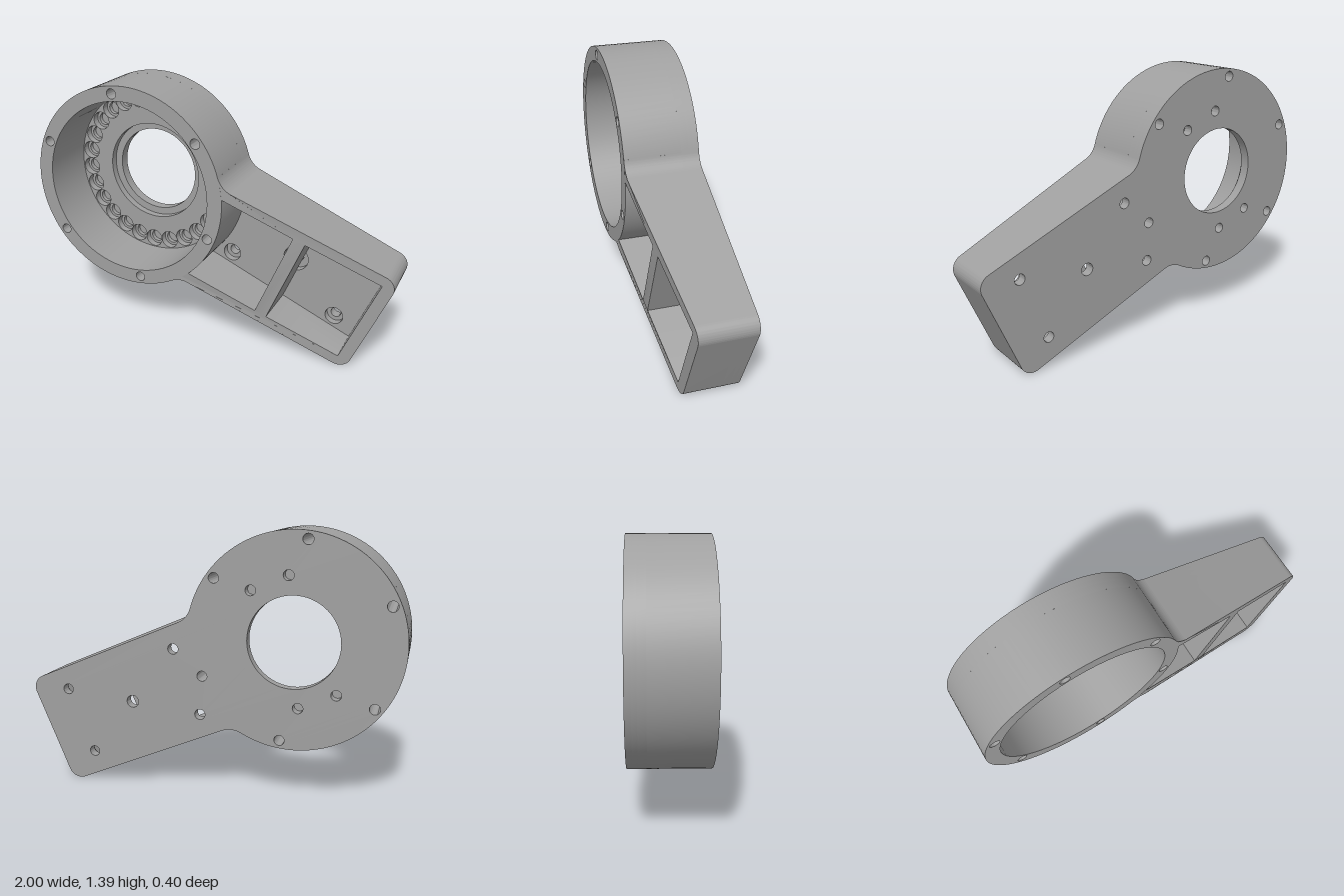
import * as THREE from 'three';
import { toCreasedNormals } from 'three/addons/utils/BufferGeometryUtils.js';

const PI = Math.PI;
// Local frame: origin at the bore axis, arm pointing along +x.
const R = 0.558, HALF = 0.305, END = 1.46, CORNER = 0.07, FILLET = 0.12;
const FV = HALF + FILLET, FU = Math.sqrt((R + FILLET) ** 2 - FV ** 2);
const FA = Math.atan2(FV, FU);

// Arm sides, rounded end and the fillets into the ring; innerR closes it on the ring side
function outline(fullRing) {
  const s = new THREE.Shape();
  s.moveTo(FU, -HALF);
  s.absarc(END - CORNER, -HALF + CORNER, CORNER, -PI / 2, 0, false);
  s.absarc(END - CORNER, HALF - CORNER, CORNER, 0, PI / 2, false);
  s.lineTo(FU, HALF);
  s.absarc(FU, FV, FILLET, -PI / 2, FA - PI, true);
  if (fullRing) s.absarc(0, 0, R, FA, 2 * PI - FA, false);
  else s.absarc(0, 0, 0.55, FA, -FA, true);
  s.absarc(FU, -FV, FILLET, PI - FA, PI / 2, true);
  return s;
}

function circle(x, y, r) {
  const p = new THREE.Path();
  p.absarc(x, y, r, 0, 2 * PI, true);
  return p;
}

function polar(list, radius, r) {
  return list.map(a => circle(radius * Math.cos(a), radius * Math.sin(a), r));
}

const sixty = [0, 1, 2, 3, 4, 5].map(i => i * PI / 3);
const pins = Array.from({ length: 26 }, (_, i) => i * 2 * PI / 26);
const backAngles = [72, 108, -72, -108].map(d => d * PI / 180);

const rimHoles = () => polar(sixty, 0.516, 0.027);
const pinHoles = r => polar(pins, 0.422, r);
const backHoles = () => polar(backAngles, 0.337, 0.027);
const armHoles = r => [[0.608, 1], [0.608, -1], [1.269, 1], [1.269, -1]]
  .map(([u, s]) => circle(u, s * 0.186, r));

// Pocket beside the ring, with a curved inner wall
function innerPocket() {
  const p = new THREE.Path(), r = 0.559, a = Math.asin(0.25 / r);
  p.moveTo(0.905, -0.25);
  p.lineTo(r * Math.cos(a), -0.25);
  p.absarc(0, 0, r, -a, a, false);
  p.lineTo(0.905, 0.25);
  p.closePath();
  return p;
}

function outerPocket() {
  return new THREE.Path([[0.972, -0.25], [0.972, 0.25], [1.395, 0.25], [1.395, -0.25], [0.972, -0.25]]
    .map(([x, y]) => new THREE.Vector2(x, y)));
}

export function createModel() {
  const grey = new THREE.MeshStandardMaterial({ color: 0xa0a0a0 });
  grey.name = 'machined grey';
  const model = new THREE.Group();
  model.name = 'gearHousing';
  const body = new THREE.Group();
  body.name = 'housingBody';
  body.position.set(-0.442, 0.831, 0);
  body.rotation.z = -23 * PI / 180;
  model.add(body);

  function layer(name, shape, holes, z0, z1, sloped) {
    shape.holes.push(...holes);
    const geo = new THREE.ExtrudeGeometry(shape, { depth: z1 - z0, bevelEnabled: false, curveSegments: 48 });
    geo.translate(0, 0, z0);
    if (sloped) {
      // Front face falls away towards the arm's end
      const p = geo.attributes.position;
      for (let i = 0; i < p.count; i++) {
        if (p.getZ(i) > z1 - 0.001) p.setZ(i, z1 - Math.max(0, p.getX(i) - R) * 0.118);
      }
    }
    const mesh = new THREE.Mesh(toCreasedNormals(geo, 0.5), grey);
    mesh.name = name;
    body.add(mesh);
  }

  // Back plate with bore, through holes and blind holes
  const through = () => [circle(0, 0, 0.237), ...rimHoles(), ...armHoles(0.028), circle(0.938, 0, 0.033), ...backHoles()];
  layer('backPlate', outline(true), through(), -0.2, -0.17);
  layer('pinSeatPlate', outline(true), [...through(), ...pinHoles(0.035)], -0.17, -0.145);

  // Cavity floor with pin pockets and counterbores
  layer('floorPlate', outline(true),
    [circle(0, 0, 0.278), ...rimHoles(), ...pinHoles(0.05), ...armHoles(0.05), circle(0.938, 0, 0.07)],
    -0.145, -0.105);

  // Deep ring wall
  const disc = new THREE.Shape();
  disc.absarc(0, 0, R, 0, 2 * PI, false);
  layer('ringWall', disc, [circle(0, 0, 0.477), ...rimHoles()], -0.105, 0.2);

  // Tapering arm walls around two pockets
  layer('armWalls', outline(false), [innerPocket(), outerPocket()], -0.105, 0.2, true);

  return model;
}
